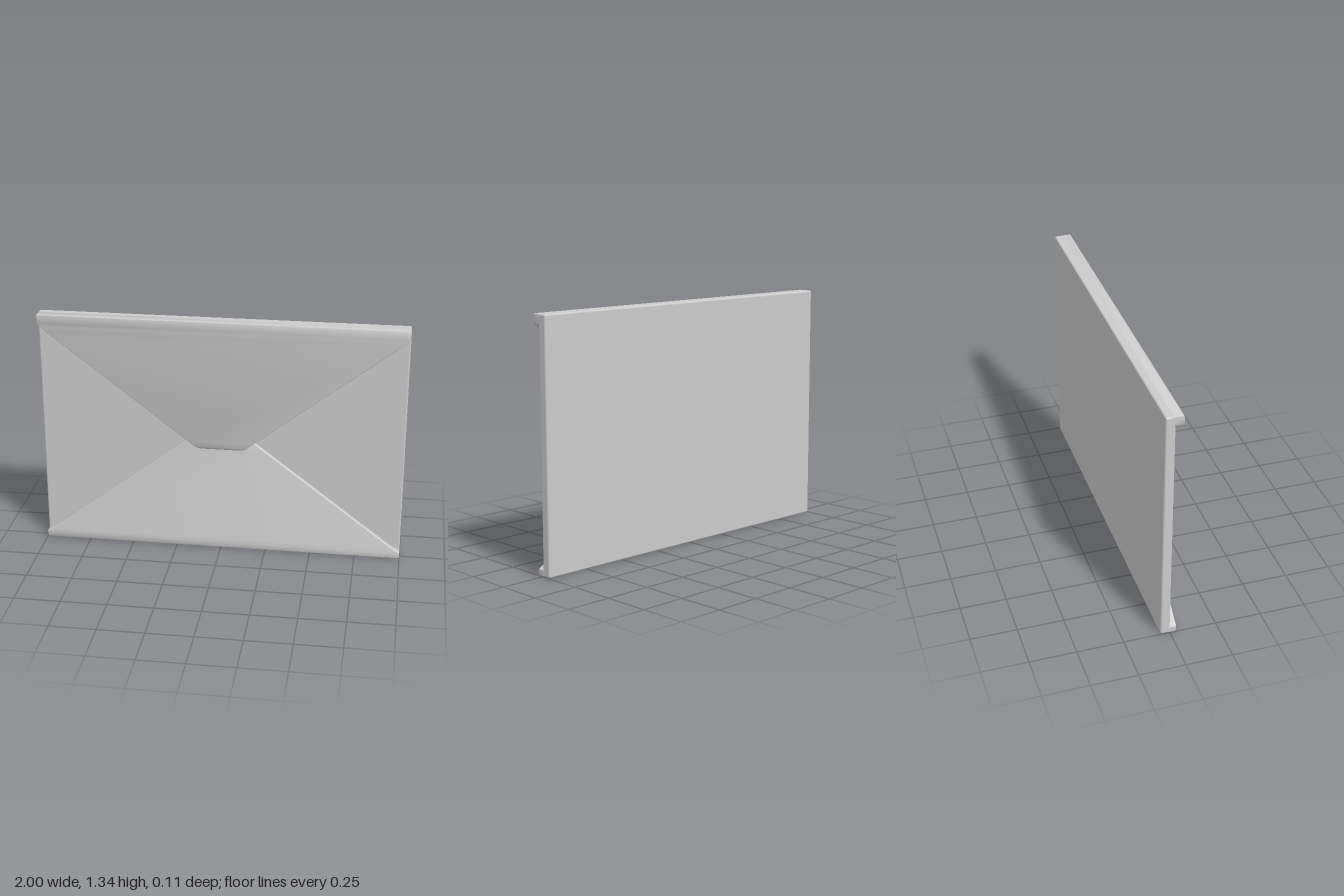
import * as THREE from 'three';
import { toCreasedNormals } from 'three/addons/utils/BufferGeometryUtils.js';
import { RoundedBoxGeometry } from 'three/addons/geometries/RoundedBoxGeometry.js';

const HEIGHT = 1.335;

// Rounded rectangle in the x-z plane at height y, from +x round to +z
function section(y, w, zb, zf, radius) {
  const r = Math.min(radius, (zf - zb) * 0.45);
  const corners = [[w - r, zf - r, 0], [-w + r, zf - r, 1], [-w + r, zb + r, 2], [w - r, zb + r, 3]];
  const ring = [];
  for (const [cx, cz, q] of corners) {
    for (let i = 0; i <= 4; i++) {
      const a = (q + i / 4) * Math.PI / 2;
      ring.push([cx + r * Math.cos(a), y, cz + r * Math.sin(a)]);
    }
  }
  return ring;
}

// Skin over rows of [y, half width, back z, front z], lowest row first
function loft(rows, radius) {
  const rings = rows.map((row) => section(...row, radius));
  const n = rings[0].length;
  const index = [];
  for (let j = 0; j < rows.length - 1; j++) {
    for (let i = 0; i < n; i++) {
      const a = j * n + i, b = j * n + (i + 1) % n;
      index.push(a, a + n, b, b, a + n, b + n);
    }
  }
  const top = (rows.length - 1) * n;
  for (let i = 1; i < n - 1; i++) {
    index.push(0, i, i + 1, top, top + i + 1, top + i);
  }
  const geometry = new THREE.BufferGeometry();
  geometry.setAttribute('position', new THREE.Float32BufferAttribute(rings.flat(2), 3));
  geometry.setIndex(index);
  return toCreasedNormals(geometry, 0.8);
}

export function createModel() {
  const group = new THREE.Group();
  const material = new THREE.MeshStandardMaterial({ color: 0xcccccc });
  const add = (name, geometry) => {
    const mesh = new THREE.Mesh(geometry, material);
    mesh.name = name;
    group.add(mesh);
    return mesh;
  };

  // Envelope body
  const body = add('body', new RoundedBoxGeometry(2, HEIGHT, 0.052, 4, 0.01));
  body.position.set(0, HEIGHT / 2, -0.026);

  // Upper flap: blunt tip, standing off the body and folding into its top edge
  add('topFlap', loft([
    [0.608, 0.11, 0.036, 0.045],
    [0.612, 0.125, 0.031, 0.051],
    [0.62, 0.143, 0.03, 0.053],
    [0.65, 0.18, 0.03, 0.053],
    [1.2, 0.896, 0.02, 0.046],
    [1.25, 0.961, 0.014, 0.045],
    [1.268, 0.984, 0.005, 0.044],
    [1.285, 0.999, -0.03, 0.044],
    [1.323, 0.999, -0.03, 0.044],
    [1.332, 0.998, -0.03, 0.041],
    [HEIGHT, 0.994, -0.03, 0.034],
  ], 0.006));

  // Lower flap: folds up from the bottom edge, its tip tucked behind the upper flap
  add('bottomFlap', loft([
    [0, 0.994, -0.03, 0.025],
    [0.003, 0.998, -0.03, 0.032],
    [0.012, 0.999, -0.03, 0.035],
    [0.035, 0.999, -0.03, 0.035],
    [0.05, 0.974, -0.008, 0.035],
    [0.062, 0.958, 0.002, 0.035],
    [0.085, 0.927, 0.004, 0.035],
    [0.6, 0.246, 0.006, 0.033],
    [0.65, 0.18, 0.006, 0.031],
    [0.7, 0.115, 0.008, 0.029],
    [0.725, 0.075, 0.012, 0.026],
    [0.733, 0.045, 0.017, 0.021],
  ], 0.006));

  return group;
}
